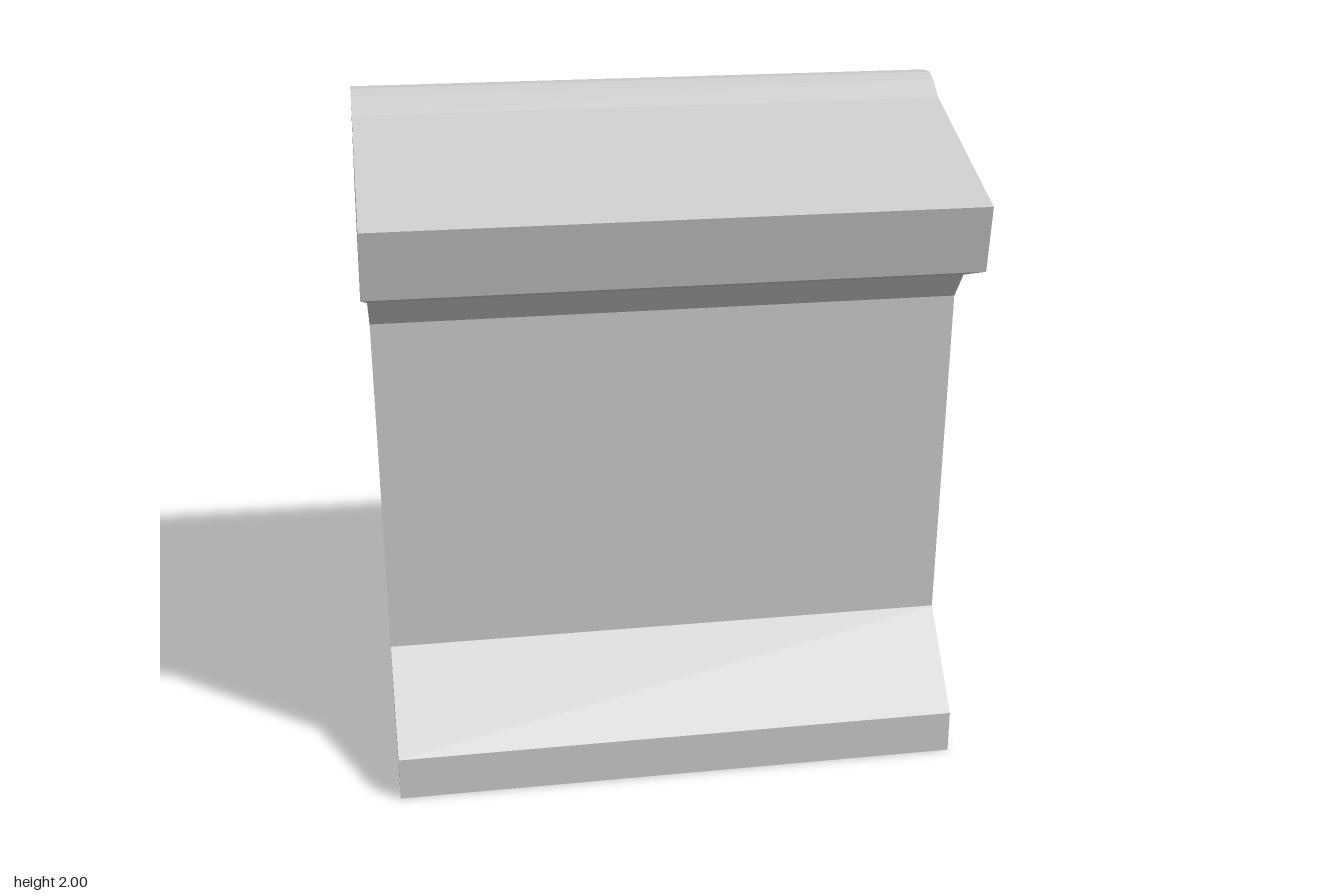
import * as THREE from 'three';

// Each section: front edge y, z; back edge y, z; x at the right and left ends
const base = [
  [0, 0.64, 0, -0.63, -0.85, 0.84],
  [0.13, 0.64, 0.15, -0.63, -0.85, 0.84],
  [0.38, 0.40, 0.39, -0.41, -0.853, 0.845],
];
const shaft = [
  base[2],
  [1.40, 0.39, 1.40, -0.39, -0.863, 0.86],
  [1.485, 0.46, 1.485, -0.46, -0.867, 0.86],
];
const coping = [
  shaft[2],
  [1.53, 0.59, 1.525, -0.635, -0.885, 0.88],
  [1.73, 0.63, 1.73, -0.635, -0.882, 0.875],
  [1.94, 0.11, 1.95, -0.14, -0.88, 0.87],
  [1.985, 0.05, 1.993, -0.07, -0.88, 0.87],
  [2.0, 0.015, 2.0, -0.015, -0.88, 0.87],
];

// Joins four-cornered sections with flat faces, closing only the requested ends
function loft(name, sections, closeBottom, closeTop) {
  const rings = sections.map(([yf, zf, yb, zb, x0, x1]) => [
    [x0, yf, zf], [x1, yf, zf], [x1, yb, zb], [x0, yb, zb],
  ]);
  const positions = [];
  const quad = (a, b, c, d) => positions.push(...a, ...b, ...c, ...a, ...c, ...d);
  for (let r = 0; r < rings.length - 1; r++) {
    for (let i = 0; i < 4; i++) {
      const j = (i + 1) % 4;
      quad(rings[r][i], rings[r][j], rings[r + 1][j], rings[r + 1][i]);
    }
  }
  const first = rings[0], last = rings[rings.length - 1];
  if (closeBottom) quad(first[0], first[3], first[2], first[1]);
  if (closeTop) quad(last[0], last[1], last[2], last[3]);

  const geometry = new THREE.BufferGeometry();
  geometry.setAttribute('position', new THREE.Float32BufferAttribute(positions, 3));
  geometry.computeVertexNormals();
  const mesh = new THREE.Mesh(
    geometry,
    new THREE.MeshStandardMaterial({ color: 0xcccccc, flatShading: true })
  );
  mesh.name = name;
  return mesh;
}

export function createModel() {
  const model = new THREE.Group();
  model.name = 'stonePedestal';
  model.add(
    loft('slopedBase', base, true, false),
    loft('shaft', shaft, false, false),
    loft('ridgedCoping', coping, false, true)
  );
  return model;
}
